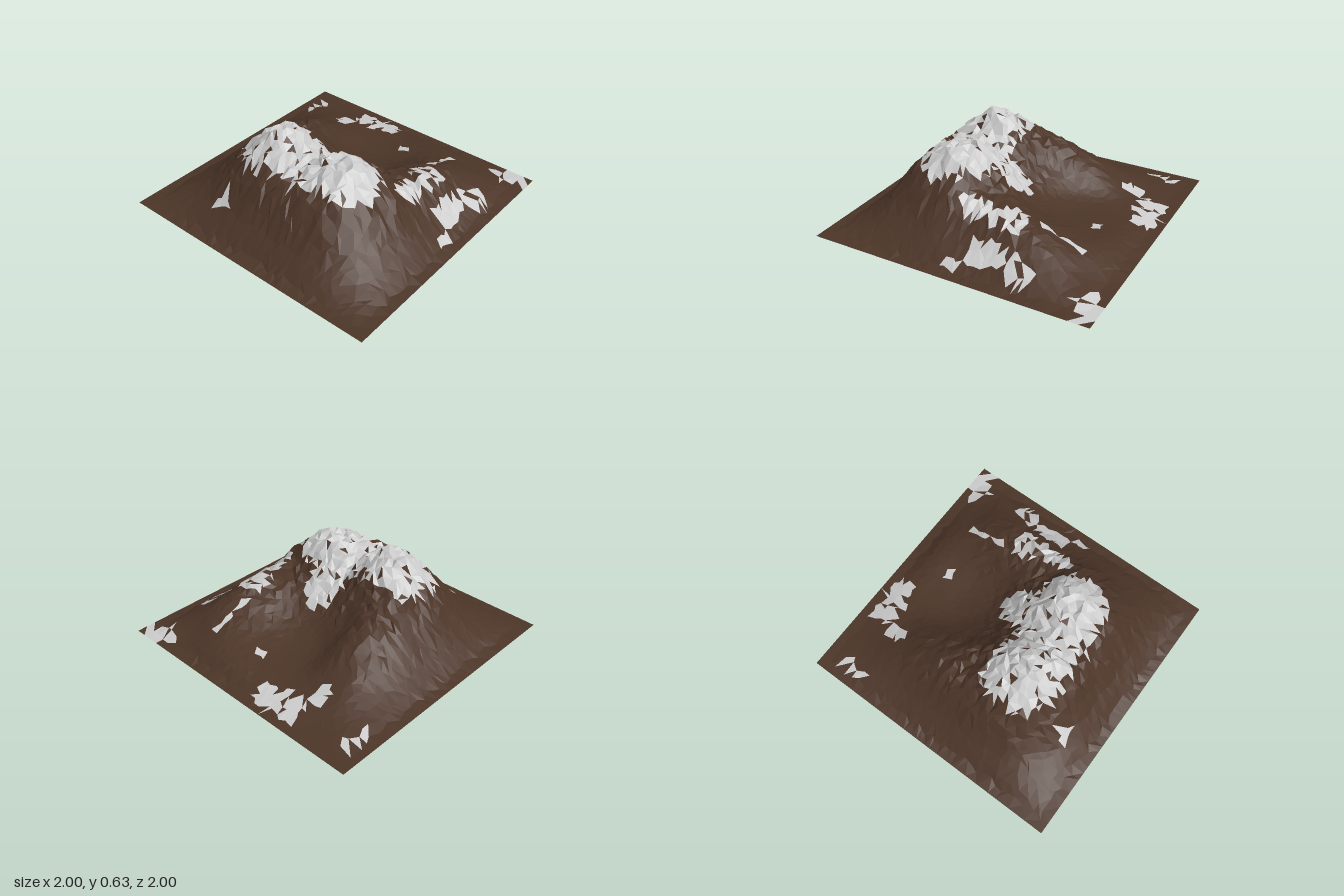
import * as THREE from 'three';

// Broad relief: heights every 0.2 units from -0.8 to 0.8 (rows: back to front, columns: x rising)
const RELIEF = [
  [.04, .08, .10, .11, .10, .09, .07, .05, .02],
  [.08, .19, .29, .32, .30, .25, .18, .10, .03],
  [.12, .33, .48, .49, .40, .32, .21, .09, .04],
  [.14, .40, .58, .58, .38, .20, .10, .06, .04],
  [.14, .40, .46, .45, .31, .15, .08, .065, .055],
  [.14, .40, .51, .52, .36, .18, .12, .10, .08],
  [.13, .37, .49, .51, .34, .27, .21, .15, .09],
  [.09, .23, .32, .36, .29, .29, .24, .17, .06],
  [.04, .09, .12, .13, .11, .10, .11, .09, .04],
];

// Snow areas as ellipses: x, z, radius x, radius z
const SUMMIT_SNOW = [
  [-.34, -.24, .25, .26], [-.32, .02, .27, .2], [-.3, .28, .25, .27], [-.02, .12, .16, .13], [-.2, -.42, .12, .1],
];
const LOOSE_SNOW = [
  [.24, .57, .12, .11], [.02, .57, .12, .07], [.26, .79, .21, .06], [.46, .84, .09, .06],
  [.5, .47, .24, .02], [.85, -.3, .1, .19], [.66, -.5, .09, .05], [.91, .84, .08, .13],
  [.77, -.86, .12, .05], [0, .89, .06, .04], [-.75, -.38, .05, .06], [.63, .1, .03, .05],
];

function seeded(seed) {
  return () => {
    seed = (seed * 1664525 + 1013904223) % 4294967296;
    return seed / 4294967296;
  };
}

// Smooth interpolation through four evenly spaced values
function cubic(a, b, c, d, t) {
  return b + 0.5 * t * (c - a + t * (2 * a - 5 * b + 4 * c - d + t * (3 * (b - c) + d - a)));
}

// Height of the relief, flattened into a thin rim near the border
function heightAt(x, z) {
  const gx = (x + 0.8) / 0.2, gz = (z + 0.8) / 0.2;
  const i = Math.floor(gx), j = Math.floor(gz);
  const row = (r) => {
    const v = (k) => RELIEF[r]?.[k] ?? 0;
    return cubic(v(i - 1), v(i), v(i + 1), v(i + 2), gx - i);
  };
  const h = cubic(row(j - 1), row(j), row(j + 1), row(j + 2), gz - j);
  const edge = 1 - Math.max(Math.abs(x), Math.abs(z));
  return Math.max(0, h) * THREE.MathUtils.smoothstep(edge, 0, 0.15);
}

function inside(areas, x, z, wobble) {
  return areas.some(([cx, cz, rx, rz]) => ((x - cx) / rx) ** 2 + ((z - cz) / rz) ** 2 < wobble);
}

function facetedMesh(name, positions, color) {
  const geometry = new THREE.BufferGeometry();
  geometry.setAttribute('position', new THREE.Float32BufferAttribute(positions, 3));
  geometry.computeVertexNormals();
  const material = new THREE.MeshStandardMaterial({ color, flatShading: true, side: THREE.DoubleSide });
  const mesh = new THREE.Mesh(geometry, material);
  mesh.name = name;
  return mesh;
}

export function createModel() {
  const N = 40;
  const random = seeded(17);
  const spread = (u) => 0.74 * u + 0.26 * u ** 3; // finer facets towards the middle

  // Jittered terrain points, with a straight flat border
  const points = [];
  for (let j = 0; j <= N; j++) {
    for (let i = 0; i <= N; i++) {
      const border = i === 0 || j === 0 || i === N || j === N;
      const shift = () => (border ? 0 : (random() - 0.5) * 1.3 / N);
      const x = spread((2 * i) / N - 1 + shift());
      const z = spread((2 * j) / N - 1 + shift());
      const h = heightAt(x, z);
      const rough = (random() - 0.5) * 0.1 * h * Math.min(1, h / 0.3);
      points.push(new THREE.Vector3(x, border ? 0 : h + rough, z));
    }
  }

  // Each facet becomes either rock or snow
  const rock = [], snow = [];
  const addFacet = (a, b, c) => {
    const x = (a.x + b.x + c.x) / 3, z = (a.z + b.z + c.z) / 3;
    const wobble = 0.7 + random() * 0.6;
    const bare = random();
    const white = (inside(SUMMIT_SNOW, x, z, wobble) && bare > 0.06)
      || (inside(LOOSE_SNOW, x, z, wobble) && bare > 0.15);
    for (const p of [a, b, c]) (white ? snow : rock).push(p.x, p.y, p.z);
  };
  for (let j = 0; j < N; j++) {
    for (let i = 0; i < N; i++) {
      const k = j * (N + 1) + i;
      const [a, b, c, d] = [points[k], points[k + 1], points[k + N + 1], points[k + N + 2]];
      if (random() < 0.5) {
        addFacet(a, c, b);
        addFacet(b, c, d);
      } else {
        addFacet(a, c, d);
        addFacet(a, d, b);
      }
    }
  }

  const group = new THREE.Group();
  group.name = 'mountain';
  group.add(facetedMesh('rockSlopes', rock, 0x4c3528), facetedMesh('snowCover', snow, 0xcccccc));
  return group;
}
